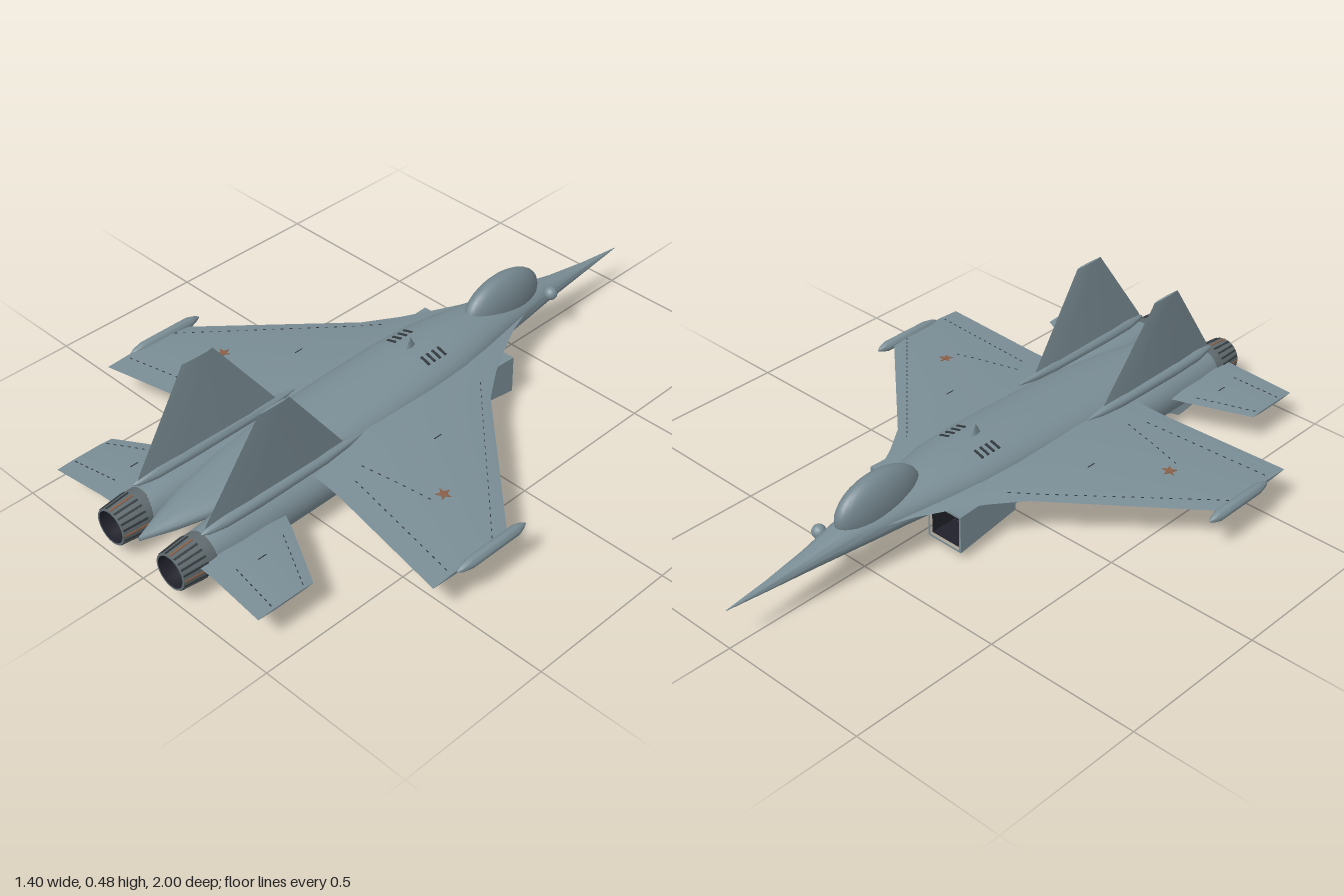
import * as THREE from 'three';
import { toCreasedNormals, mergeGeometries } from 'three/addons/utils/BufferGeometryUtils.js';

const mat = (name, color, side = THREE.FrontSide) => {
  const m = new THREE.MeshStandardMaterial({ color, side });
  m.name = name;
  return m;
};

// Skin a list of closed rings (arrays of [x,y,z]) with capped ends
function loft(rings, crease = 0.7) {
  const n = rings[0].length, pos = rings.flat(2), idx = [];
  for (let i = 0; i < rings.length - 1; i++)
    for (let j = 0; j < n; j++) {
      const a = i * n + j, b = i * n + (j + 1) % n;
      idx.push(a, b, a + n, b, b + n, a + n);
    }
  const last = (rings.length - 1) * n;
  for (let j = 1; j < n - 1; j++) idx.push(0, j + 1, j, last, last + j, last + j + 1);
  // Turn the faces outwards if the enclosed volume is negative
  let vol = 0;
  const p = k => new THREE.Vector3().fromArray(pos, k * 3);
  for (let i = 0; i < idx.length; i += 3) vol += p(idx[i]).dot(p(idx[i + 1]).cross(p(idx[i + 2])));
  if (vol < 0) idx.reverse();
  const g = new THREE.BufferGeometry();
  g.setAttribute('position', new THREE.Float32BufferAttribute(pos, 3));
  g.setIndex(idx);
  return toCreasedNormals(g, crease);
}

// Rounded ring: half width w, separate top and bottom heights, squareness e
function ring(z, cx, w, top, mid, bot, e = 1, n = 32) {
  return Array.from({ length: n }, (_, i) => {
    const a = (i / n) * Math.PI * 2, c = Math.cos(a), s = Math.sin(a);
    const k = v => Math.sign(v) * Math.abs(v) ** e;
    return [cx + w * k(c), mid + (s > 0 ? top - mid : mid - bot) * k(s), z];
  });
}

// Lens-shaped section between leading and trailing edge: [thickness offset, z]
const foil = (le, te, t) => [[0, 0], [1, 0.2], [1, 0.7], [0.1, 1], [-1, 0.7], [-1, 0.2]]
  .map(([h, f]) => [h * t / 2, le + (te - le) * f]);
const flatWing = (secs, s) => loft(secs.map(([x, y, le, te, t]) =>
  foil(le, te, t).map(([h, z]) => [s * x, y + h, z])), 0.3);
const uprightFin = (secs, s) => loft(secs.map(([x, y, le, te, t]) =>
  foil(le, te, t).map(([h, z]) => [s * x + h, y, z])), 0.3);

// Sections: x, y, leading z, trailing z, thickness
const WING = [[0.05, 0.165, -0.53, 0.5, 0.03], [0.1, 0.165, -0.39, 0.51, 0.03], [0.15, 0.163, -0.29, 0.51, 0.03],
  [0.2, 0.16, -0.2, 0.51, 0.028], [0.27, 0.155, -0.1, 0.515, 0.024], [0.68, 0.125, 0.28, 0.57, 0.01]];
const STAB = [[0.15, 0.125, 0.625, 0.945, 0.014], [0.235, 0.12, 0.662, 0.945, 0.012], [0.425, 0.105, 0.76, 0.955, 0.006]];

// Height of a wing's upper skin
function skinY(secs, x, z) {
  let i = 0;
  while (i < secs.length - 2 && x > secs[i + 1][0]) i++;
  const f = (x - secs[i][0]) / (secs[i + 1][0] - secs[i][0]);
  const [y, le, te, t] = [1, 2, 3, 4].map(k => secs[i][k] + (secs[i + 1][k] - secs[i][k]) * f);
  const c = (z - le) / (te - le);
  return y + t / 2 * Math.min(1, c / 0.2, 1 - 0.9 * (c - 0.7) / 0.3);
}

function starShape(r) {
  const s = new THREE.Shape();
  for (let i = 0; i < 10; i++) {
    const a = i * Math.PI / 5 + Math.PI / 2, q = i % 2 ? r * 0.42 : r;
    s[i ? 'lineTo' : 'moveTo'](q * Math.cos(a), q * Math.sin(a));
  }
  s.closePath();
  return s;
}

export function createModel() {
  const root = new THREE.Group();
  const skin = mat('blue grey skin', 0x7a8d95);
  const glass = mat('canopy grey', 0x74868e);
  const metal = mat('nozzle metal', 0x5f6a6e);
  const dark = mat('dark interior', 0x20212b, THREE.DoubleSide);
  const line = mat('panel line', 0x33393d);
  const rust = mat('burnt copper', 0x8a6048);
  const add = (name, geo, m, x = 0, y = 0, z = 0) => {
    const o = new THREE.Mesh(geo, m);
    o.name = name;
    o.position.set(x, y, z);
    root.add(o);
    return o;
  };

  // Fuselage: z, half width, top, middle, bottom
  add('fuselage', loft([[-1, 0.001, 0.131, 0.13, 0.129], [-0.85, 0.016, 0.145, 0.131, 0.119], [-0.7, 0.034, 0.166, 0.137, 0.111],
    [-0.6, 0.05, 0.186, 0.143, 0.107], [-0.5, 0.068, 0.2, 0.15, 0.105], [-0.4, 0.085, 0.214, 0.156, 0.105],
    [-0.3, 0.105, 0.225, 0.16, 0.105], [-0.15, 0.134, 0.234, 0.163, 0.1], [0, 0.142, 0.232, 0.163, 0.1],
    [0.2, 0.142, 0.222, 0.16, 0.1], [0.45, 0.138, 0.207, 0.155, 0.105], [0.65, 0.11, 0.194, 0.152, 0.11],
    [0.8, 0.072, 0.18, 0.15, 0.115], [0.9, 0.042, 0.168, 0.147, 0.122], [1, 0.003, 0.15, 0.143, 0.136]]
    .map(([z, w, t, m, b]) => ring(z, 0, w, t, m, b))), skin);

  // Bubble canopy
  add('canopy', new THREE.SphereGeometry(1, 32, 20).scale(0.055, 0.1, 0.16), glass, 0, 0.199, -0.44);
  add('sensorBall', new THREE.SphereGeometry(0.022, 16, 12), skin, 0.05, 0.163, -0.62);

  // Small blade antenna on the spine
  const blade = add('antenna', new THREE.ConeGeometry(0.025, 0.045, 4), skin, 0, 0.246, -0.04);
  blade.scale.x = 0.25;

  for (const s of [1, -1]) {
    add('wing', flatWing(WING, s), skin);
    add('tailplane', flatWing(STAB, s), skin);
    add('verticalTail', uprightFin([[0.14, 0.18, 0.36, 0.89, 0.016], [0.141, 0.205, 0.38, 0.88, 0.016],
      [0.155, 0.48, 0.58, 0.69, 0.007]], s), skin);
    add('ventralFin', uprightFin([[0.135, 0.05, 0.65, 0.89, 0.008], [0.138, 0.035, 0.67, 0.89, 0.008],
      [0.146, 0.012, 0.72, 0.87, 0.006], [0.15, 0, 0.74, 0.78, 0.004]], s), skin);

    // Engine nacelle: z, radius across, top, middle, bottom
    add('nacelle', loft([[-0.14, 0.012, 0.13, 0.115, 0.1], [-0.12, 0.036, 0.15, 0.112, 0.07], [-0.07, 0.053, 0.16, 0.11, 0.052],
      [0.02, 0.063, 0.166, 0.108, 0.038], [0.2, 0.067, 0.172, 0.107, 0.035], [0.6, 0.071, 0.178, 0.106, 0.034],
      [0.8, 0.07, 0.178, 0.106, 0.035], [0.9, 0.062, 0.168, 0.106, 0.044]]
      .map(([z, w, t, m, b]) => ring(z, s * 0.124, w, t, m, b))), skin);

    // Square intake trunk with an open, dark mouth
    const duct = new THREE.Shape([[0.055, 0.03], [0.185, 0.03], [0.185, 0.155], [0.055, 0.155]]
      .map(([x, y]) => new THREE.Vector2(s * x, y)));
    duct.holes.push(new THREE.Path([[0.062, 0.037], [0.178, 0.037], [0.178, 0.148], [0.062, 0.148]]
      .map(([x, y]) => new THREE.Vector2(s * x, y))));
    const trunk = new THREE.ExtrudeGeometry(duct, { depth: 0.24, bevelEnabled: false });
    const tp = trunk.attributes.position;
    for (let i = 0; i < tp.count; i++) if (tp.getZ(i) > 0.1) {
      tp.setY(i, 0.155 - (0.155 - tp.getY(i)) * 0.8);
      tp.setX(i, s * 0.12 + (tp.getX(i) - s * 0.12) * 0.86);
    }
    trunk.computeVertexNormals();
    add('intake', trunk, skin, 0, 0, -0.295);
    add('intakeLining', new THREE.BoxGeometry(0.112, 0.104, 0.003), dark, s * 0.12, 0.095, -0.2);
    for (const sx of [-1, 1])
      add('intakeWall', new THREE.BoxGeometry(0.003, 0.108, 0.085), dark, s * 0.12 + sx * 0.0565, 0.0935, -0.244);
    for (const y of [0.041, 0.146])
      add('intakeWall', new THREE.BoxGeometry(0.112, 0.003, 0.085), dark, s * 0.12, y, -0.244);

    // Exhaust nozzle with petal seams
    const profile = [[0.064, 0.885], [0.064, 0.915], [0.056, 1], [0.05, 1]].map(([r, y]) => new THREE.Vector2(r, y));
    add('nozzle', toCreasedNormals(new THREE.LatheGeometry(profile, 32).rotateX(Math.PI / 2), 0.6), metal, s * 0.126, 0.106, 0)
      .material.side = THREE.DoubleSide;
    const bore = [[0.05, 1], [0.054, 0.94], [0.04, 0.91], [0.0001, 0.905]].map(([r, y]) => new THREE.Vector2(r, y));
    add('nozzleBore', new THREE.LatheGeometry(bore, 32).rotateX(Math.PI / 2), dark, s * 0.126, 0.106, 0);
    const petals = [[], []];
    for (let i = 0; i < 20; i++) {
      const g = new THREE.BoxGeometry(0.006, 0.003, 0.08).rotateX(0.094)
        .translate(0, 0.0605, 0.957).rotateZ(i * Math.PI / 10);
      petals[i % 5 === 0 ? 1 : 0].push(g);
    }
    add('petalSeams', mergeGeometries(petals[0]), line, s * 0.126, 0.106, 0);
    add('burntPetals', mergeGeometries(petals[1]), rust, s * 0.126, 0.106, 0);

    // Fairing under the vertical tail
    add('tailFairing', loft([[0.3, 0.002], [0.36, 0.014], [0.45, 0.022], [0.7, 0.025], [0.82, 0.022], [0.88, 0.012], [0.9, 0.002]]
      .map(([z, r]) => ring(z, s * 0.143, r, 0.185 + r * 0.85, 0.185, 0.185 - r * 0.85, 1, 16))), skin);

    // Wingtip pod
    add('wingtipPod', loft([[0.21, 0.002], [0.225, 0.01], [0.25, 0.017], [0.43, 0.017], [0.465, 0.01], [0.48, 0.002]]
      .map(([z, r]) => ring(z, s * 0.682, r, 0.126 + r, 0.126, 0.126 - r, 1, 16))), skin);

    // Wing star
    const star = add('wingStar', new THREE.ExtrudeGeometry(starShape(0.024), { depth: 0.003, bevelEnabled: false })
      .rotateX(-Math.PI / 2), rust, s * 0.46, skinY(WING, 0.46, 0.3) - 0.001, 0.3);
    star.rotation.z = -s * 0.085;

    // Dashed panel lines on the wing and tailplane
    const dashes = [];
    const dash = (secs, [x0, z0], [x1, z1], n) => {
      const a = Math.atan2(z1 - z0, x1 - x0);
      for (let i = 0; i < n; i++) {
        const f = (i + 0.5) / n, x = x0 + (x1 - x0) * f, z = z0 + (z1 - z0) * f;
        dashes.push(new THREE.BoxGeometry(0.009, 0.002, 0.0025).rotateY(-s * a)
          .translate(s * x, skinY(secs, x, z) + 0.0005, z));
      }
    };
    dash(WING, [0.2, -0.13], [0.67, 0.33], 24);
    dash(WING, [0.22, 0.39], [0.46, 0.34], 9);
    dash(WING, [0.25, 0.44], [0.67, 0.5], 16);
    dash(WING, [0.29, 0.13], [0.29, 0.16], 3);
    dash(STAB, [0.24, 0.7], [0.42, 0.79], 9);
    dash(STAB, [0.25, 0.88], [0.42, 0.9], 8);
    dash(STAB, [0.27, 0.785], [0.27, 0.815], 3);
    add('panelLines', mergeGeometries(dashes), line);

    // Spine vents
    for (let i = 0; i < 4; i++)
      add('spineVent', new THREE.BoxGeometry(0.036, 0.004, 0.008).rotateZ(-s * 0.29),
        line, s * 0.07, 0.2235, -0.1 + i * 0.023);
  }
  return root;
}
